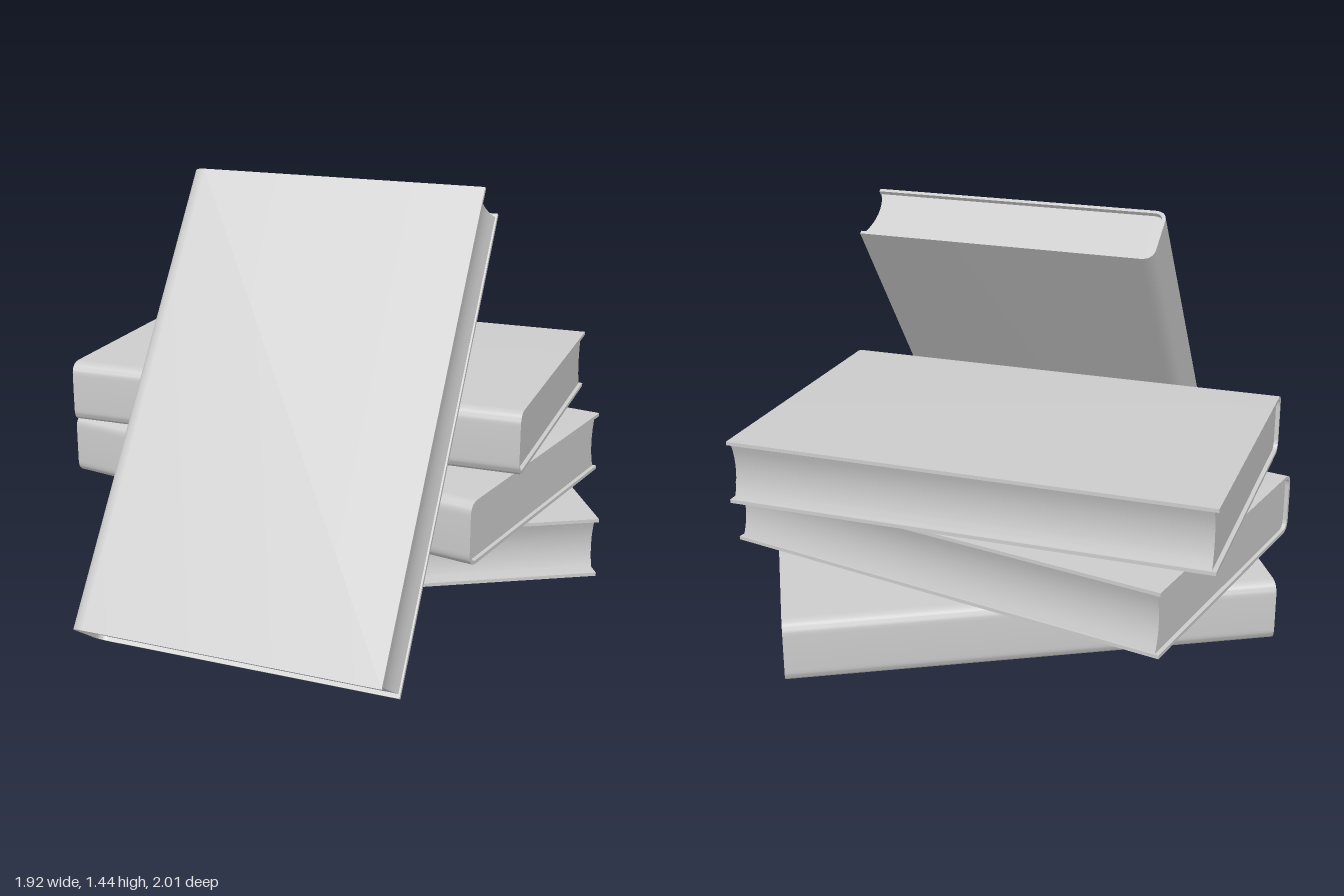
import * as THREE from 'three';
import { toCreasedNormals } from 'three/addons/utils/BufferGeometryUtils.js';

const material = new THREE.MeshStandardMaterial({ color: 0xcccccc });
const WIDTH = 1.045, LENGTH = 1.612, BOARD = 0.012, OVERHANG = 0.014, ROUND = 0.045;

function extrude(shape, length, name) {
  const geometry = new THREE.ExtrudeGeometry(shape, { depth: length, bevelEnabled: false, curveSegments: 8 });
  geometry.translate(0, 0, -length / 2);
  const mesh = new THREE.Mesh(toCreasedNormals(geometry, 0.6), material);
  mesh.name = name;
  return mesh;
}

// Wrap-around cover: two boards joined by a spine with rounded corners, spine at -x
function coverShape(thickness) {
  const s = new THREE.Shape(), e = WIDTH / 2, h = thickness / 2;
  const i = h - BOARD, si = -e + BOARD, r = ROUND - BOARD;
  s.moveTo(e, h);
  s.lineTo(-e + ROUND, h);
  s.quadraticCurveTo(-e, h, -e, h - ROUND);
  s.lineTo(-e, -h + ROUND);
  s.quadraticCurveTo(-e, -h, -e + ROUND, -h);
  s.lineTo(e, -h);
  s.lineTo(e, -i);
  s.lineTo(si + r, -i);
  s.quadraticCurveTo(si, -i, si, -i + r);
  s.lineTo(si, i - r);
  s.quadraticCurveTo(si, i, si + r, i);
  s.lineTo(e, i);
  s.closePath();
  return s;
}

// Page block: rounded at the spine, hollow at the fore edge
function pageShape(thickness) {
  const s = new THREE.Shape(), e = WIDTH / 2 - 0.006, i = thickness / 2 - BOARD;
  const si = -WIDTH / 2 + BOARD, r = ROUND - BOARD;
  s.moveTo(e, i);
  s.lineTo(si + r, i);
  s.quadraticCurveTo(si, i, si, i - r);
  s.lineTo(si, -i + r);
  s.quadraticCurveTo(si, -i, si + r, -i);
  s.lineTo(e, -i);
  s.quadraticCurveTo(e - 0.04, 0, e, i);
  return s;
}

function makeBook({ name, thickness, position, rotation }) {
  const book = new THREE.Group();
  book.name = name;
  book.add(extrude(coverShape(thickness), LENGTH, 'cover'));
  book.add(extrude(pageShape(thickness), LENGTH - 2 * OVERHANG, 'pages'));
  book.position.set(...position);
  book.rotation.set(...rotation);
  return book;
}

export function createModel() {
  const model = new THREE.Group();
  model.name = 'bookPile';
  const books = [
    { name: 'bottomBook', thickness: 0.213, position: [-0.005, 0.182, -0.15], rotation: [0, -1.043, 0] },
    { name: 'middleBook', thickness: 0.218, position: [-0.035, 0.413, -0.174], rotation: [0, 1.393, 0] },
    { name: 'topBook', thickness: 0.215, position: [-0.055, 0.658, -0.22], rotation: [0, 1.595, 0] },
    { name: 'leaningBook', thickness: 0.21, position: [0.04, 0.721, 0.45], rotation: [0.953, 0, 0] },
  ];
  books.forEach((b) => model.add(makeBook(b)));
  return model;
}
